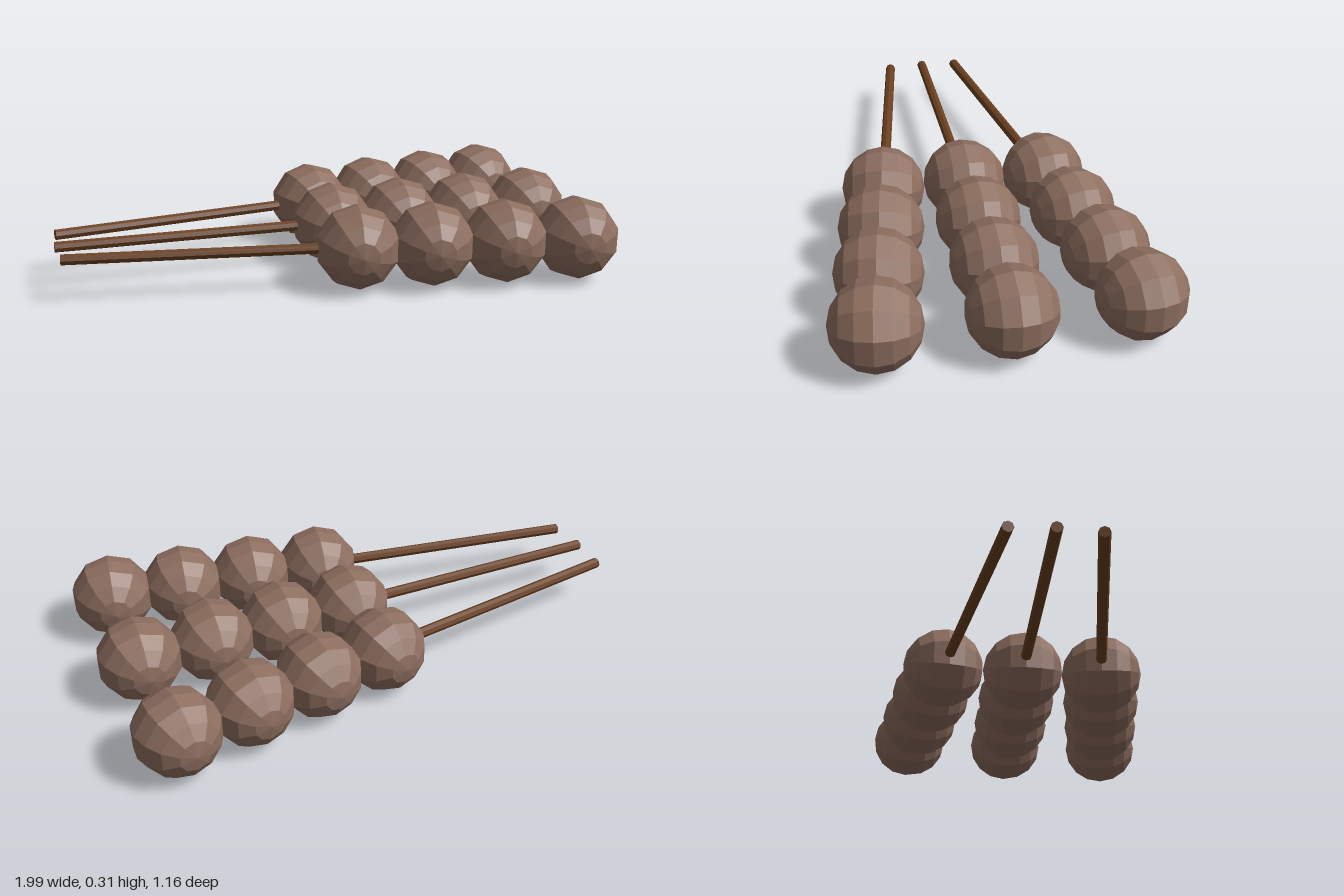
import * as THREE from 'three';

export function createModel() {
  const model = new THREE.Group();
  const ballMaterial = new THREE.MeshStandardMaterial({ color: 0x8d6e5f, flatShading: true });
  const stickMaterial = new THREE.MeshStandardMaterial({ color: 0x6b4020, flatShading: true });

  // Faceted ball with its poles facing front and back, a vertex line on top
  const ballGeometry = new THREE.SphereGeometry(0.153, 10, 8);
  ballGeometry.rotateX(Math.PI / 2).rotateZ(Math.PI / 2);

  // Stick running through all the balls of a row
  const stickGeometry = new THREE.CylinderGeometry(0.02, 0.02, 1.9, 8);
  stickGeometry.rotateZ(Math.PI / 2).translate(-0.05, 0, 0);

  // Three skewers fanning out from the handle ends
  ['back', 'middle', 'front'].forEach((name, i) => {
    const side = i - 1;
    const skewer = new THREE.Group();
    skewer.name = `${name}Skewer`;
    skewer.position.set(0, 0.155, side * 0.3);
    skewer.rotation.y = -side * 0.155;

    const stick = new THREE.Mesh(stickGeometry, stickMaterial);
    stick.name = 'stick';
    skewer.add(stick);

    for (let k = 0; k < 4; k++) {
      const ball = new THREE.Mesh(ballGeometry, ballMaterial);
      ball.name = `ball${k + 1}`;
      ball.position.x = 0.035 + k * 0.27;
      skewer.add(ball);
    }
    model.add(skewer);
  });
  return model;
}
